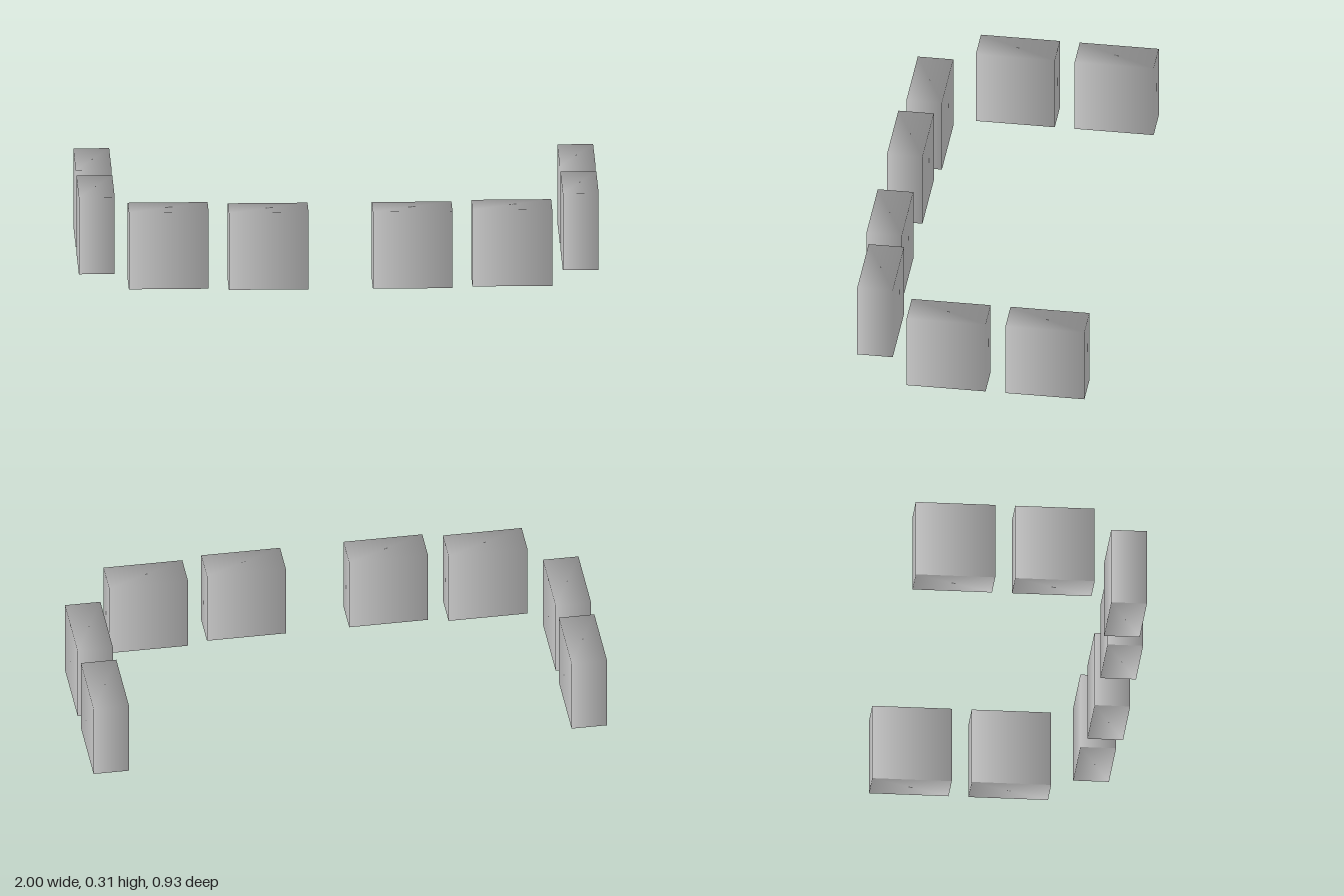
import * as THREE from 'three';

const HEIGHT = 0.307, LONG = 0.307, THIN = 0.138;

// Box whose corner normals are softened around the vertical axis
function softBlock(width, depth) {
  const geometry = new THREE.BoxGeometry(width, HEIGHT, depth);
  geometry.translate(0, HEIGHT / 2, 0);
  const position = geometry.attributes.position;
  const normal = geometry.attributes.normal;
  for (let i = 0; i < position.count; i++) {
    const side = normal.getY(i) < -0.5 ? -1 : 1;
    const n = side * Math.SQRT1_2;
    normal.setXYZ(i, n * Math.sign(position.getX(i)), 0, n * Math.sign(position.getZ(i)));
  }
  return geometry;
}

export function createModel() {
  const group = new THREE.Group();
  const grey = new THREE.MeshStandardMaterial({ color: 0xcccccc });
  grey.name = 'light grey';

  const frontGeometry = softBlock(LONG, THIN);
  const sideGeometry = softBlock(THIN, LONG);

  // Each block is mirrored to the other side: name, geometry, x, z
  const blocks = [
    ['innerFrontBlock', frontGeometry, 0.277, 0.395],
    ['outerFrontBlock', frontGeometry, 0.661, 0.375],
    ['forwardSideBlock', sideGeometry, 0.931, 0.072],
    ['rearSideBlock', sideGeometry, 0.931, -0.312],
  ];
  for (const [name, geometry, x, z] of blocks) {
    for (const side of [1, -1]) {
      const mesh = new THREE.Mesh(geometry, grey);
      mesh.name = name + (side > 0 ? 'Left' : 'Right');
      mesh.position.set(side * x, 0, z);
      group.add(mesh);
    }
  }
  return group;
}
